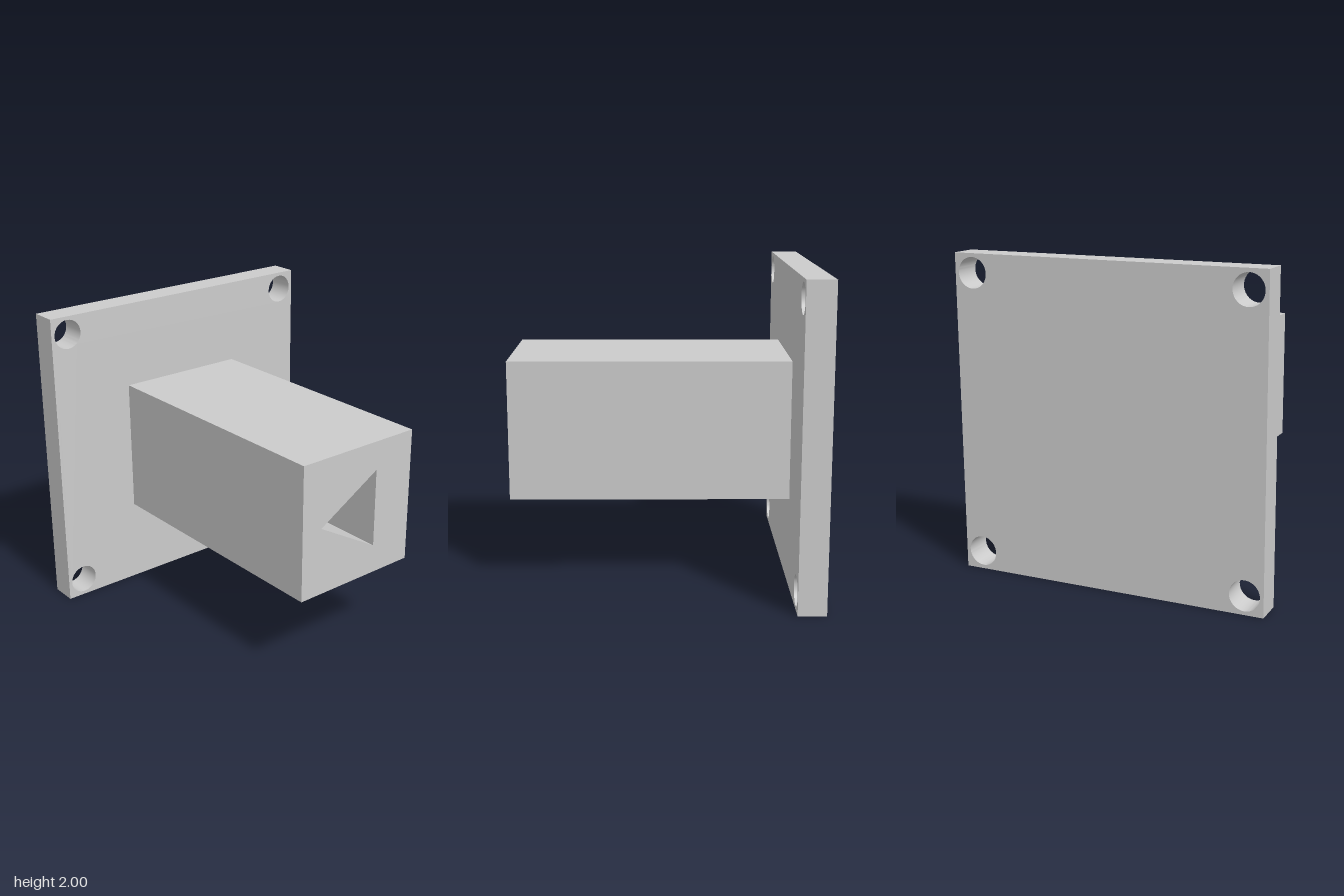
import * as THREE from 'three';
import { toCreasedNormals } from 'three/addons/utils/BufferGeometryUtils.js';

const material = new THREE.MeshStandardMaterial({ color: 0xcccccc });
const CENTER_Y = 1, BACK = -0.97, PLATE_FRONT = -0.794, FRONT = 0.97;

// Square outline centred on the origin
function square(half) {
  return new THREE.Shape([[-half, -half], [half, -half], [half, half], [-half, half]]
    .map(([x, y]) => new THREE.Vector2(x, y)));
}

// Extrude a shape between two depths, keeping edges sharp and bores smooth
function extruded(name, shape, z0, z1) {
  const geometry = new THREE.ExtrudeGeometry(shape, { depth: z1 - z0, bevelEnabled: false, curveSegments: 32 });
  const mesh = new THREE.Mesh(toCreasedNormals(geometry, 0.6), material);
  mesh.name = name;
  mesh.position.set(0, CENTER_Y, z0);
  return mesh;
}

export function createModel() {
  const group = new THREE.Group();
  group.name = 'flangedSocket';

  // Mounting plate with a bolt hole at each corner
  const plate = square(1);
  for (const sx of [-1, 1]) {
    for (const sy of [-1, 1]) {
      plate.holes.push(new THREE.Path().absarc(sx * 0.882, sy * 0.882, 0.095, 0, Math.PI * 2, true));
    }
  }
  group.add(extruded('mountingPlate', plate, BACK, PLATE_FRONT));

  // Square post with a triangular socket running back to the plate
  const post = square(0.441);
  const corners = [0, 1, 2].map((i) => {
    const a = Math.PI + (i * Math.PI * 2) / 3;
    return new THREE.Vector2(Math.cos(a) * 0.294, Math.sin(a) * 0.294);
  });
  post.holes.push(new THREE.Path(corners));
  group.add(extruded('socketPost', post, PLATE_FRONT, FRONT));

  return group;
}
